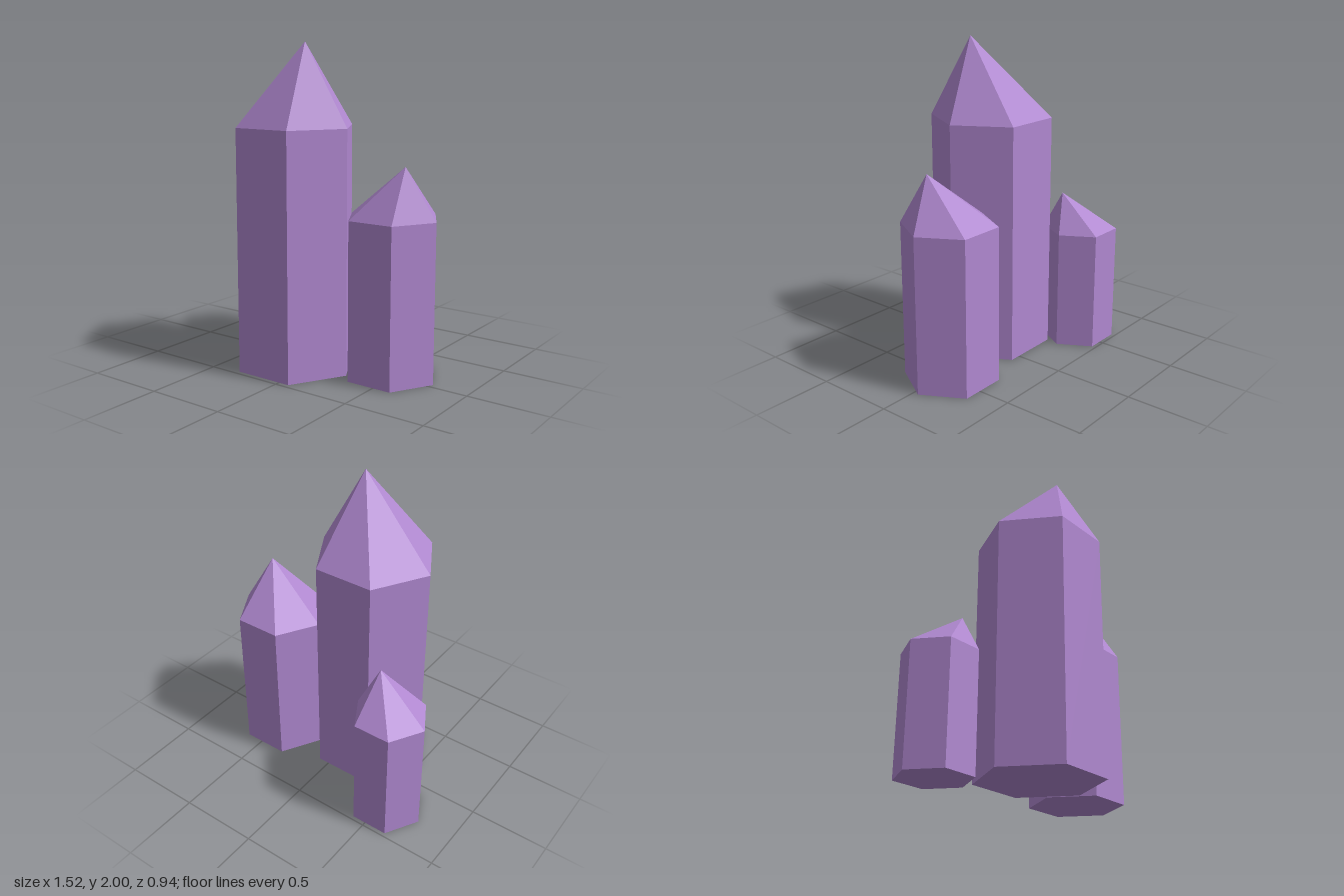
import * as THREE from 'three';

const material = new THREE.MeshStandardMaterial({ color: 0xb088d0, flatShading: true });

// Hexagonal crystal: a straight prism with an off-centre pointed tip
function crystal(name, { x, z, radius, shoulder, apex }) {
  const group = new THREE.Group();
  group.name = name;
  group.position.set(x, 0, z);

  // Shaft, closed below and open under the tip
  const shaft = new THREE.CylinderGeometry(radius, radius, shoulder, 6, 1, true)
    .rotateY(Math.PI / 6).translate(0, shoulder / 2, 0);

  // Tip, with the apex moved sideways
  const height = apex[1] - shoulder;
  const tip = new THREE.ConeGeometry(radius, height, 6, 1, true)
    .rotateY(Math.PI / 6).translate(0, shoulder + height / 2, 0);
  const p = tip.attributes.position;
  for (let i = 0; i < p.count; i++) {
    if (p.getY(i) > shoulder + height / 2) p.setXYZ(i, apex[0] - x, apex[1], apex[2] - z);
  }

  // Base facing down, corners on the x axis
  const base = new THREE.CircleGeometry(radius, 6).rotateX(Math.PI / 2);

  for (const [part, geometry] of Object.entries({ shaft, tip, base })) {
    const flat = geometry.toNonIndexed();
    flat.computeVertexNormals();
    const mesh = new THREE.Mesh(flat, material);
    mesh.name = part;
    group.add(mesh);
  }
  return group;
}

export function createModel() {
  const model = new THREE.Group();
  model.name = 'crystalCluster';
  model.add(
    crystal('tallCrystal', { x: -0.12, z: 0.14, radius: 0.38, shoulder: 1.5, apex: [0, 2, 0.2] }),
    crystal('mediumCrystal', { x: 0.469, z: -0.036, radius: 0.292, shoulder: 0.975, apex: [0.585, 1.29, 0.022] }),
    crystal('smallCrystal', { x: -0.53, z: -0.272, radius: 0.234, shoulder: 0.755, apex: [-0.412, 1, -0.212] }),
  );
  return model;
}
